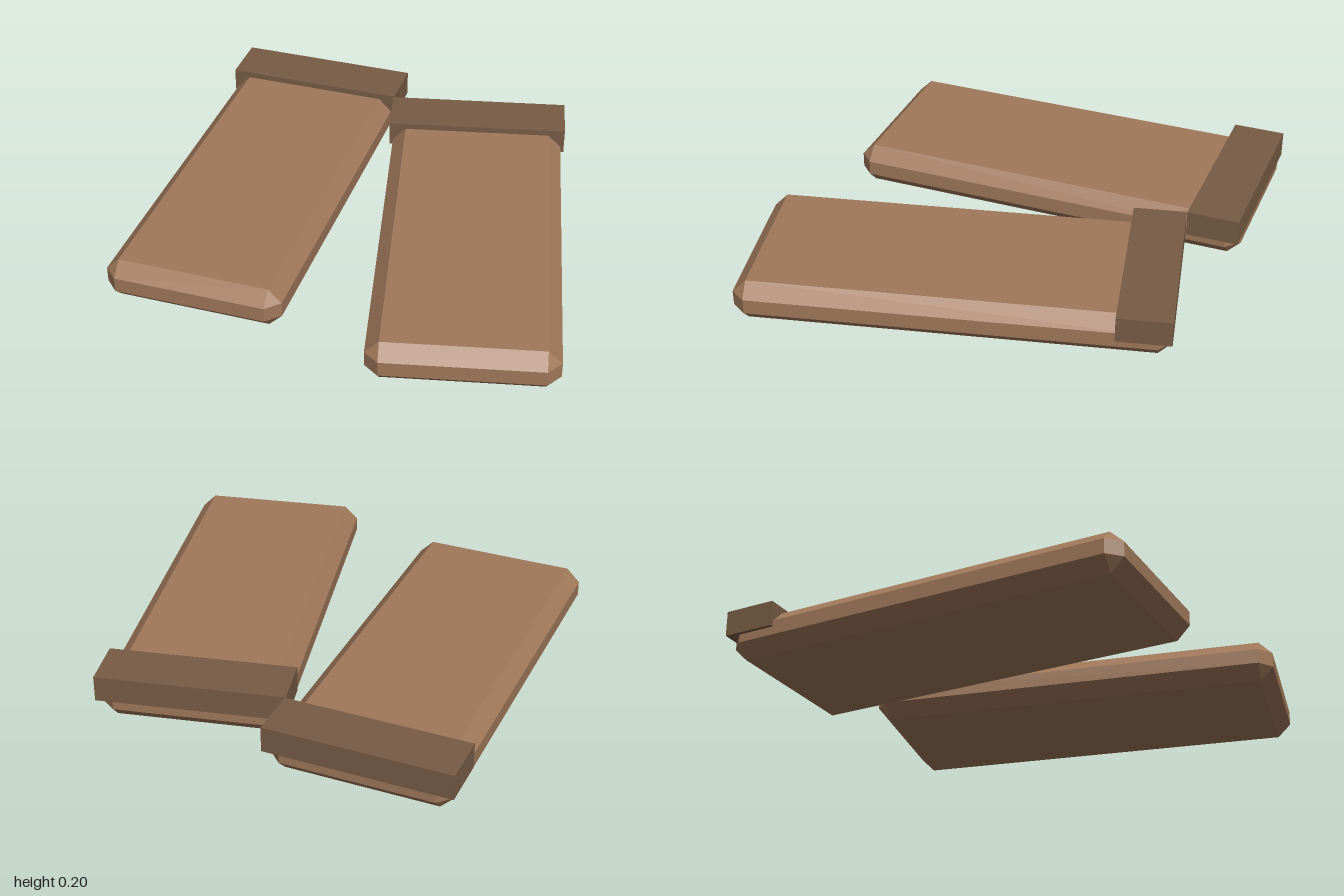
import * as THREE from 'three';
import { ConvexGeometry } from 'three/addons/geometries/ConvexGeometry.js';

const WIDTH = 0.735, HEIGHT = 0.172, LENGTH = 1.71, CHAMFER = 0.055;

// Box with chamfered edges and triangular cut corners: three points per corner
function chamferedBox(w, h, l, c) {
  const points = [];
  for (const sx of [-1, 1]) for (const sy of [-1, 1]) for (const sz of [-1, 1]) {
    const x = w / 2, y = h / 2, z = l / 2;
    points.push(
      new THREE.Vector3(sx * x, sy * (y - c), sz * (z - c)),
      new THREE.Vector3(sx * (x - c), sy * y, sz * (z - c)),
      new THREE.Vector3(sx * (x - c), sy * (y - c), sz * z)
    );
  }
  return new ConvexGeometry(points);
}

export function createModel() {
  const model = new THREE.Group();
  model.name = 'pairOfSoles';

  const tan = new THREE.MeshStandardMaterial({ color: 0xa0785a });
  tan.name = 'tanLeather';
  const brown = new THREE.MeshStandardMaterial({ color: 0x785c45 });
  brown.name = 'darkBrownLeather';

  const soleGeometry = chamferedBox(WIDTH, HEIGHT, LENGTH, CHAMFER);
  const bandGeometry = new THREE.BoxGeometry(0.765, 0.107, 0.217);

  // Two slabs splayed outwards at the front, one set further forward
  for (const side of [-1, 1]) {
    const slab = new THREE.Group();
    slab.name = side < 0 ? 'rightSlab' : 'leftSlab';

    const sole = new THREE.Mesh(soleGeometry, tan);
    sole.name = 'sole';
    sole.position.y = HEIGHT / 2;

    // Band across the back end, overhanging the sole slightly
    const band = new THREE.Mesh(bandGeometry, brown);
    band.name = 'heelBand';
    band.position.set(0, 0.1435, -LENGTH / 2 + 0.1065);

    slab.add(sole, band);
    slab.position.set(side * 0.461, 0, side * 0.109);
    slab.rotation.y = side * 0.11;
    model.add(slab);
  }
  return model;
}
